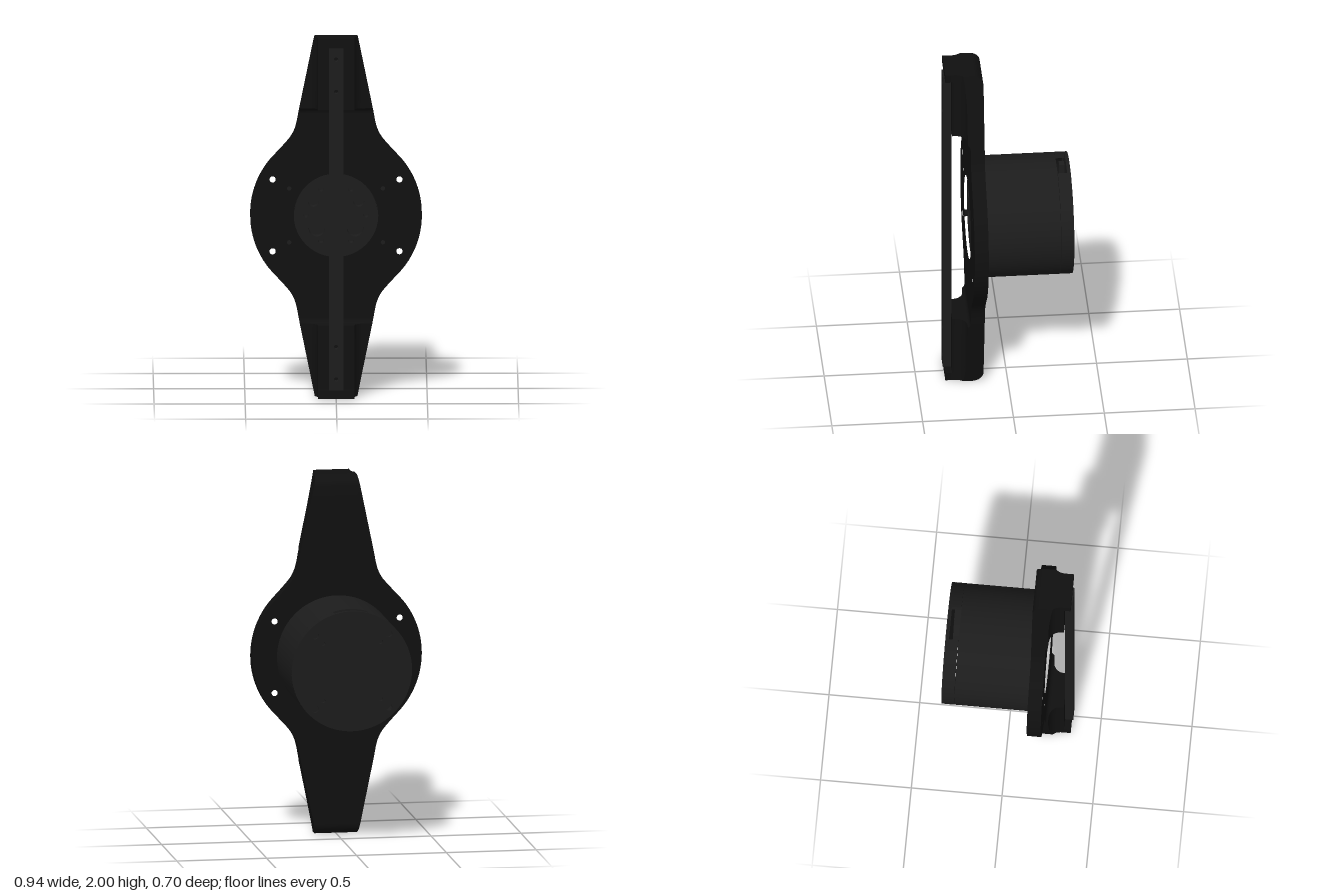
import * as THREE from 'three';
import { toCreasedNormals } from 'three/addons/utils/BufferGeometryUtils.js';

const black = new THREE.MeshStandardMaterial({ color: 0x101010 });
const dark = new THREE.MeshStandardMaterial({ color: 0x1c1c1c });
const BACK = 0.133, FACE = 0.21; // plate thickness in z

export function createModel() {
  const model = new THREE.Group();
  const hub = new THREE.Group(); // everything is laid out around the motor axis
  hub.position.y = 1;
  model.add(hub);

  function add(name, geometry, material, parent = hub) {
    const mesh = new THREE.Mesh(geometry, material);
    mesh.name = name;
    parent.add(mesh);
    return mesh;
  }
  const circle = (x, y, r) => new THREE.Path().absarc(x, y, r, 0, Math.PI * 2, true);
  function extrude(shape, z0, z1, curveSegments = 24) {
    const g = new THREE.ExtrudeGeometry(shape, { depth: z1 - z0, bevelEnabled: false, curveSegments });
    g.translate(0, 0, z0);
    return toCreasedNormals(g, 0.5);
  }
  function disc(r) {
    return new THREE.Shape().absarc(0, 0, r, 0, Math.PI * 2, false);
  }
  const signs = [[1, 1], [-1, 1], [-1, -1], [1, -1]];

  // Mounting plate: round centre blending into the two arms
  const shoulder = new THREE.SplineCurve([
    [0.205, 0.57], [0.221, 0.49], [0.245, 0.435], [0.285, 0.385], [0.345, 0.32],
  ].map(p => new THREE.Vector2(...p))).getPoints(16);
  const start = Math.atan2(0.32, 0.345);
  const quarter = [...shoulder];
  for (let i = 1; i <= 12; i++) {
    const a = start * (1 - i / 12);
    quarter.push(new THREE.Vector2(0.471 * Math.cos(a), 0.471 * Math.sin(a)));
  }
  const mirror = (pts, sx, sy) => pts.map(p => new THREE.Vector2(p.x * sx, p.y * sy));
  const rightEdge = [...quarter, ...mirror(quarter.slice(0, -1), 1, -1).reverse()];
  const plate = new THREE.Shape([...rightEdge, ...mirror(rightEdge, -1, 1).reverse()]);
  plate.holes.push(circle(0, 0, 0.232));
  for (const [sx, sy] of signs) {
    plate.holes.push(circle(sx * 0.348, sy * 0.2, 0.017));
    plate.holes.push(circle(sx * 0.257, sy * 0.15, 0.012));
  }
  add('mountingPlate', extrude(plate, BACK, FACE), black);

  // Arms: lofted along y, with a filleted ridge, an end lip and a rounded back edge
  const arm = armGeometry();
  add('upperArm', arm, black);
  add('lowerArm', arm, black).rotation.z = Math.PI;

  // Guide rail bridging the arms
  const rail = new THREE.Shape([[-0.04, -0.95], [0.04, -0.95], [0.04, 0.95], [-0.04, 0.95]]
    .map(p => new THREE.Vector2(...p)));
  for (const y of [0.89, 0.71, -0.71, -0.89]) rail.holes.push(circle(0, y, 0.012));
  add('guideRail', extrude(rail, 0.303, 0.35), dark);

  // Motor body
  const motor = new THREE.Group();
  motor.name = 'motor';
  hub.add(motor);
  const body = new THREE.CylinderGeometry(0.335, 0.335, BACK + 0.277, 64);
  body.rotateX(Math.PI / 2);
  body.translate(0, 0, (BACK - 0.277) / 2);
  add('motorBody', body, dark, motor);

  // Output flange seen through the plate, with its bolt circle and weight holes
  const flange = disc(0.228);
  for (let i = 0; i < 6; i++) {
    const a = i * Math.PI / 3;
    flange.holes.push(circle(0.165 * Math.cos(a), 0.165 * Math.sin(a), 0.014));
  }
  for (const s of [1, -1]) {
    flange.holes.push(circle(s * 0.125, 0.075, 0.03));
    flange.holes.push(circle(s * 0.105, -0.075, 0.045));
  }
  add('outputFlange', extrude(flange, BACK, 0.195), dark, motor);

  // Hollow rear housing: two wall sectors leaving cable openings above and below
  const gap = Math.asin(0.095 / 0.335);
  const wall = new THREE.Shape();
  wall.absarc(0, 0, 0.335, -Math.PI / 2 + gap, Math.PI / 2 - gap, false);
  wall.absarc(0, 0, 0.312, Math.PI / 2 - gap, -Math.PI / 2 + gap, true);
  const wallGeometry = extrude(wall, -0.33, -0.279, 40);
  for (const turn of [0, Math.PI]) add('rearWall', wallGeometry, dark, motor).rotation.z = turn;
  const connector = add('connector', new THREE.BoxGeometry(0.04, 0.12, 0.03), dark, motor);
  connector.position.set(-0.1, 0.2, -0.316);

  // Rear cover with screw holes
  const cover = disc(0.335);
  for (const [sx, sy] of signs) {
    cover.holes.push(circle(sx * 0.205, sy * 0.205, 0.02));
    cover.holes.push(circle(sx * 0.16, sy * 0.16, 0.012));
  }
  add('rearCover', extrude(cover, -0.35, -0.33, 32), dark, motor);
  return model;
}

// Upper arm, from y = 0.57 to its tip at y = 1
function armGeometry() {
  const stations = []; // [y, highest z allowed]
  for (let i = 0; i <= 5; i++) { // fillet between plate and ridge
    const a = i / 5 * Math.PI / 2;
    stations.push([0.57 + 0.03 * Math.sin(a), FACE + 0.03 * (1 - Math.cos(a))]);
  }
  stations.push([0.6, 0.304], [0.7, 0.304], [0.82, 0.304], [0.94, 0.304], [0.952, 0.304], [0.952, 0.341]);
  for (let i = 2; i <= 8; i++) stations.push([0.94 + 0.06 * Math.sin(i / 8 * Math.PI / 2), 0.341]);

  // Half profile of the ridge: top, side, concave fillet, flat shoulder
  const xs = [0.1, 0.1, 0.104, 0.112, 0.123, 0.138, 0.165, 1];
  const ridge = x => 0.285 - 0.06 * Math.sqrt(Math.max(0, 1 - Math.max(0, (0.165 - x) / 0.065) ** 2));
  const rings = stations.map(([y, cap]) => {
    const w = 0.205 + (0.117 - 0.205) * (y - 0.57) / 0.43;
    const back = BACK + 0.06 - Math.sqrt(0.06 ** 2 - Math.max(0, y - 0.94) ** 2 + 1e-9);
    const half = xs.map((x0, i) => {
      const x = Math.min(x0, w);
      return [x, Math.min(cap, i === 0 ? 1 : ridge(x))];
    });
    const front = [...half.map(([x, z]) => [-x, z]).reverse(), ...half];
    const rear = front.map(([x]) => [x, back]).reverse();
    return [...front, ...rear].map(([x, z]) => [x, y, z]);
  });

  const pos = [];
  const quad = (a, b, c, d) => pos.push(...a, ...b, ...c, ...a, ...c, ...d);
  const n = rings[0].length;
  for (let i = 0; i + 1 < rings.length; i++) {
    for (let j = 0; j < n; j++) {
      const k = (j + 1) % n;
      quad(rings[i][j], rings[i][k], rings[i + 1][k], rings[i + 1][j]);
    }
  }
  const tip = rings[rings.length - 1];
  for (let j = 0; j + 1 < n / 2; j++) quad(tip[j], tip[j + 1], tip[n - 2 - j], tip[n - 1 - j]);
  const g = new THREE.BufferGeometry();
  g.setAttribute('position', new THREE.Float32BufferAttribute(pos, 3));
  return toCreasedNormals(g, 0.5);
}
